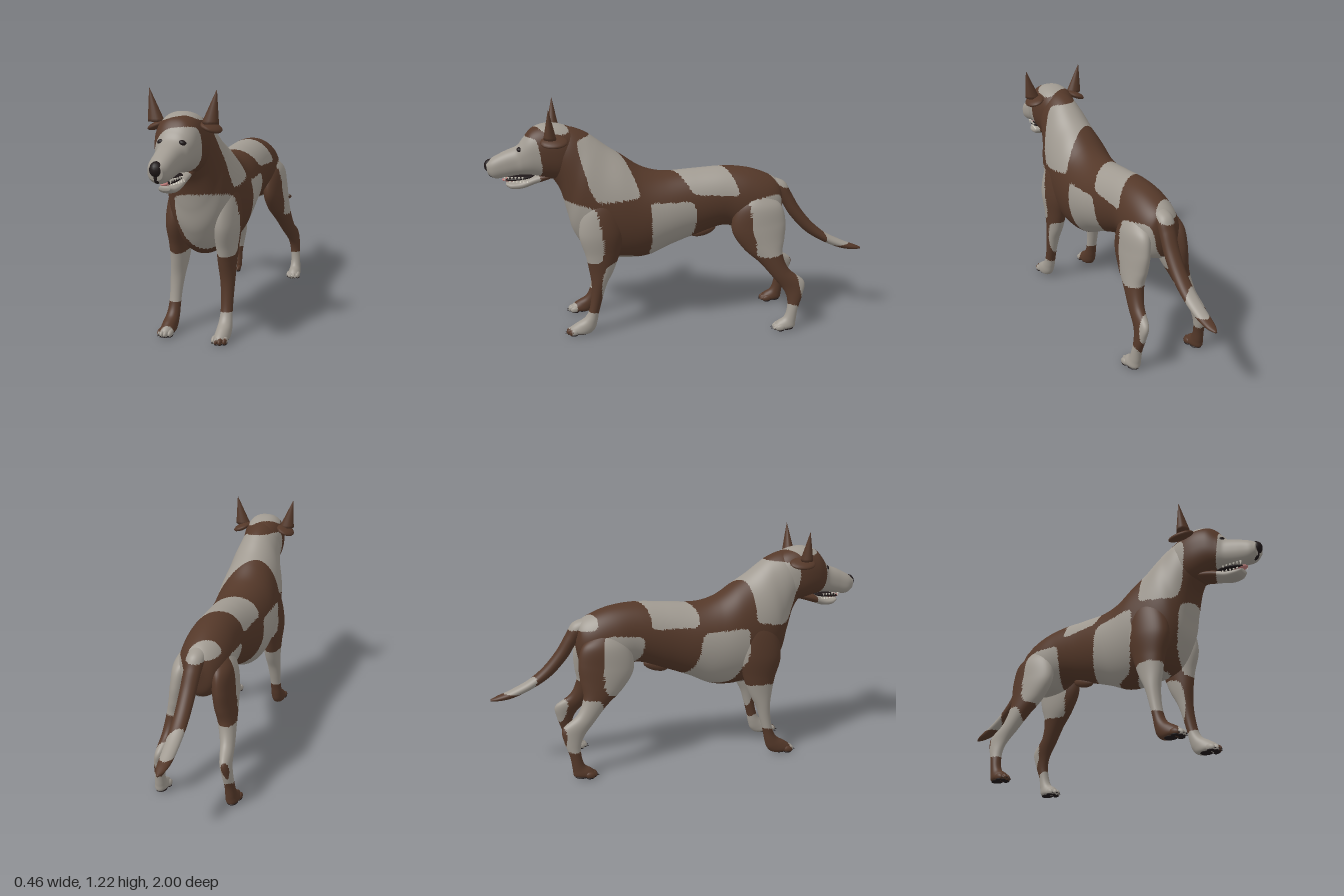
import * as THREE from 'three';

const mat = (name, color) => {
  const m = new THREE.MeshStandardMaterial({ color });
  m.name = name;
  return m;
};

// Coat pattern: slanted bands crossed with height bands, pale patches with rounded corners
const BANDS = [-0.69, -0.46, -0.22, 0.045, 0.305, 0.57, 0.755];
const ROWS = [0.145, 0.41, 0.735, 1.07];
function isPale(x, y, z) {
  const low = THREE.MathUtils.smoothstep(0.85 - y, 0, 0.2) * 0.065;
  const u = z + 0.55 * x + low + 0.01 * Math.sin(17 * y);
  const h = y + 0.01 * Math.sin(15 * z + 6 * x);
  const near = (list, v) => Math.min(...list.map(e => Math.abs(v - e)));
  const even = (BANDS.filter(b => u > b).length + ROWS.filter(r => h > r).length) % 2 === 0;
  return even && near(BANDS, u) * near(ROWS, h) > 0.0004;
}

// Sort the triangles into a pale group and a brown group
function paintCoat(geo) {
  const p = geo.attributes.position, idx = geo.index.array, sets = [[], []];
  for (let i = 0; i < idx.length; i += 3) {
    const t = [idx[i], idx[i + 1], idx[i + 2]];
    const mean = f => (f(t[0]) + f(t[1]) + f(t[2])) / 3;
    const pale = isPale(mean(k => p.getX(k)), mean(k => p.getY(k)), mean(k => p.getZ(k)));
    sets[pale ? 0 : 1].push(...t);
  }
  geo.setIndex([...sets[0], ...sets[1]]);
  geo.clearGroups();
  geo.addGroup(0, sets[0].length, 0);
  geo.addGroup(sets[0].length, sets[1].length, 1);
  return geo;
}

// Smooth skin over oval sections: [zA, yA, zB, yB, halfWidth, centreX],
// A and B being the two opposite edges of the section in side view
function loft(sections, segs, sides, { flip = 1, power = 1 } = {}) {
  const curve = f => new THREE.CatmullRomCurve3(sections.map(f), false, 'catmullrom', 0.5);
  const cA = curve(s => new THREE.Vector3(flip * (s[5] || 0), s[1], s[0]));
  const cB = curve(s => new THREE.Vector3(flip * (s[5] || 0), s[3], s[2]));
  const cW = curve(s => new THREE.Vector3(s[4], 0, 0));
  const pos = [], index = [];
  const soft = v => Math.sign(v) * Math.abs(v) ** power;
  for (let i = -1; i <= segs + 1; i++) {
    const t = Math.min(Math.max(i / segs, 0), 1);
    const open = i < 0 || i > segs ? 0.001 : 1;
    const a = cA.getPoint(t), b = cB.getPoint(t), w = cW.getPoint(t).x;
    const mid = a.clone().add(b).multiplyScalar(0.5), half = a.sub(b).multiplyScalar(0.5 * open);
    for (let j = 0; j < sides; j++) {
      const ang = j / sides * Math.PI * 2, c = soft(Math.cos(ang)), s = soft(Math.sin(ang));
      pos.push(mid.x + half.x * c + w * open * s, mid.y + half.y * c, mid.z + half.z * c);
    }
  }
  for (let i = 0; i < segs + 2; i++) for (let j = 0; j < sides; j++) {
    const a = i * sides + j, b = i * sides + (j + 1) % sides;
    index.push(a, a + sides, b, b, a + sides, b + sides);
  }
  const g = new THREE.BufferGeometry();
  g.setAttribute('position', new THREE.Float32BufferAttribute(pos, 3));
  g.setIndex(index);
  g.computeVertexNormals();
  return g;
}

function ellipsoid(c, r, rx = 0, rz = 0) {
  return new THREE.SphereGeometry(1, 16, 12).scale(...r).rotateX(rx).rotateZ(rz).translate(...c);
}

const TORSO = [
  [-0.548, 0.74, -0.555, 0.66, 0.03], [-0.525, 0.79, -0.53, 0.56, 0.085], [-0.46, 0.828, -0.46, 0.52, 0.118],
  [-0.36, 0.86, -0.34, 0.52, 0.13], [-0.235, 0.872, -0.235, 0.55, 0.126], [-0.075, 0.862, -0.08, 0.50, 0.137],
  [0.085, 0.852, 0.05, 0.45, 0.157], [0.20, 0.88, 0.17, 0.395, 0.168], [0.30, 0.945, 0.30, 0.385, 0.172],
  [0.37, 0.99, 0.46, 0.41, 0.165], [0.43, 1.035, 0.555, 0.53, 0.15], [0.48, 1.07, 0.59, 0.65, 0.128],
  [0.54, 1.095, 0.62, 0.77, 0.113], [0.60, 1.105, 0.66, 0.84, 0.098],
];
const HEAD = [
  [0.50, 1.06, 0.52, 0.87, 0.07], [0.58, 1.105, 0.58, 0.83, 0.104], [0.67, 1.122, 0.66, 0.835, 0.112, 0.002],
  [0.75, 1.10, 0.735, 0.855, 0.103, 0.006], [0.80, 1.045, 0.79, 0.862, 0.083, 0.01],
  [0.83, 1.01, 0.83, 0.86, 0.066, 0.013], [0.89, 0.985, 0.89, 0.85, 0.057, 0.015],
  [0.95, 0.955, 0.945, 0.845, 0.05, 0.015], [0.985, 0.93, 0.978, 0.865, 0.034, 0.015],
];
const JAW = [
  [0.65, 0.88, 0.67, 0.835, 0.06, 0.005], [0.74, 0.86, 0.74, 0.812, 0.056, 0.008],
  [0.81, 0.832, 0.81, 0.788, 0.048, 0.012], [0.86, 0.824, 0.865, 0.788, 0.042, 0.015],
  [0.892, 0.824, 0.893, 0.804, 0.026, 0.015],
];
const TAIL = [
  [-1, 0.395, -1, 0.385, 0.006, 0.022], [-0.96, 0.412, -0.96, 0.385, 0.024, 0.022],
  [-0.90, 0.435, -0.89, 0.395, 0.032, 0.021], [-0.80, 0.485, -0.79, 0.435, 0.036, 0.02],
  [-0.72, 0.55, -0.685, 0.50, 0.038, 0.018], [-0.65, 0.635, -0.60, 0.59, 0.04, 0.015],
  [-0.60, 0.72, -0.555, 0.66, 0.042, 0.01], [-0.56, 0.782, -0.515, 0.71, 0.045, 0.005],
  [-0.47, 0.812, -0.46, 0.74, 0.045, 0],
];
const FRONT_LEG = [
  [0.43, 0.80, 0.35, 0.80, 0.03, 0.092], [0.50, 0.70, 0.30, 0.72, 0.055, 0.112], [0.53, 0.56, 0.29, 0.58, 0.064, 0.122],
  [0.50, 0.44, 0.32, 0.46, 0.052, 0.124], [0.485, 0.36, 0.355, 0.36, 0.044, 0.126], [0.475, 0.28, 0.395, 0.28, 0.037, 0.132],
  [0.48, 0.20, 0.42, 0.20, 0.031, 0.136], [0.495, 0.13, 0.44, 0.125, 0.03, 0.138], [0.52, 0.09, 0.45, 0.075, 0.033, 0.14],
  [0.56, 0.065, 0.465, 0.03, 0.036, 0.142], [0.595, 0.04, 0.50, 0.004, 0.036, 0.142], [0.605, 0.02, 0.58, 0.004, 0.025, 0.142],
];
const HIND_LEG = [
  [-0.36, 0.76, -0.45, 0.74, 0.03, 0.075], [-0.29, 0.67, -0.53, 0.68, 0.054, 0.096], [-0.27, 0.55, -0.555, 0.59, 0.057, 0.107],
  [-0.33, 0.45, -0.55, 0.50, 0.054, 0.118], [-0.42, 0.37, -0.54, 0.42, 0.045, 0.135], [-0.49, 0.29, -0.575, 0.335, 0.036, 0.152],
  [-0.545, 0.225, -0.655, 0.27, 0.029, 0.166], [-0.567, 0.17, -0.65, 0.20, 0.027, 0.176], [-0.565, 0.11, -0.625, 0.12, 0.026, 0.184],
  [-0.55, 0.07, -0.615, 0.05, 0.029, 0.187], [-0.52, 0.05, -0.605, 0.012, 0.034, 0.189], [-0.50, 0.03, -0.54, 0.004, 0.034, 0.189],
  [-0.49, 0.02, -0.497, 0.004, 0.022, 0.189],
];
const EAR = [
  [0.654, 1.217, 0.651, 1.216, 0.002, 0.163], [0.685, 1.07, 0.62, 1.065, 0.041, 0.131],
];

export function createModel() {
  const pale = mat('pale coat', 0xa09a91), brown = mat('brown coat', 0x543829);
  const dark = mat('dark skin', 0x1f1819), pink = mat('tongue pink', 0xc07c7a), ivory = mat('tooth ivory', 0xd6d1c4);
  const model = new THREE.Group();
  model.name = 'dog';
  const add = (name, geo, material, parent = model) => {
    const m = new THREE.Mesh(geo, material);
    m.name = name;
    parent.add(m);
  };
  const addCoat = (name, geo, parent) => add(name, paintCoat(geo), [pale, brown], parent);
  const group = name => {
    const g = new THREE.Group();
    g.name = name;
    model.add(g);
    return g;
  };

  // Body
  addCoat('torso and neck', loft(TORSO, 180, 120));
  addCoat('tail', loft(TAIL, 90, 32));
  addCoat('belly sheath', ellipsoid([0, 0.515, -0.13], [0.022, 0.028, 0.07], 0.3));

  // Head
  const head = group('head');
  addCoat('skull and muzzle', loft(HEAD, 110, 80, { power: 0.85 }), head);
  addCoat('lower jaw', loft(JAW, 40, 40, { power: 0.9 }), head);
  add('nose', ellipsoid([0.015, 0.912, 0.969], [0.03, 0.034, 0.03], -0.3), dark, head);
  add('nose groove', ellipsoid([0.015, 0.872, 0.966], [0.014, 0.026, 0.015], 0.4), dark, head);
  add('mouth lining', ellipsoid([0.013, 0.845, 0.82], [0.046, 0.012, 0.085], 0.12), dark, head);
  add('tongue', ellipsoid([0.015, 0.836, 0.865], [0.024, 0.011, 0.05], 0.04), pink, head);

  for (const s of [1, -1]) {
    const side = s > 0 ? 'left' : 'right';
    add(side + ' eye', ellipsoid([0.015 + s * 0.05, 1.003, 0.81], [0.018, 0.012, 0.015], 0, -s * 0.2), dark, head);
    add(side + ' ear', loft(EAR, 12, 16, { flip: s }), brown, head);
    add(side + ' ear fold', ellipsoid([s * 0.128, 1.052, 0.633], [0.052, 0.018, 0.07], 0, -s * 0.4), brown, head);
    // Teeth along both jaws
    for (let i = 0; i < 6; i++) {
      const z = 0.79 + i * 0.018, x = 0.015 + s * (0.042 - i * 0.0035);
      const tall = i === 5 ? 0.024 : 0.014;
      add('lower tooth', new THREE.ConeGeometry(0.006, tall, 6).translate(x, 0.826 + tall / 2, z - 0.01), ivory, head);
      add('upper tooth', new THREE.ConeGeometry(0.006, tall, 6).rotateX(Math.PI)
        .translate(0.015 + s * (0.046 - i * 0.003), 0.856 - tall / 2, z + 0.015), ivory, head);
    }

    // Legs with toes, claws and pads
    for (const [name, sections, footX, toeZ] of [['front', FRONT_LEG, 0.142, 0.59], ['hind', HIND_LEG, 0.189, -0.515]]) {
      const leg = group(side + ' ' + name + ' leg');
      addCoat('leg', loft(sections, 120, 44, { flip: s }), leg);
      for (let i = 0; i < 4; i++) {
        const x = s * footX + (i - 1.5) * 0.0185, z = toeZ - (i === 0 || i === 3 ? 0.014 : 0);
        addCoat('toe', ellipsoid([x, 0.02, z], [0.0125, 0.018, 0.027], 0.2), leg);
        add('claw', new THREE.ConeGeometry(0.005, 0.02, 8).rotateX(Math.PI * 0.6).translate(x, 0.012, z + 0.027), dark, leg);
        add('toe pad', ellipsoid([x, 0.007, z], [0.011, 0.007, 0.02]), dark, leg);
      }
      add('heel pad', ellipsoid([s * footX, 0.008, toeZ - 0.053], [0.029, 0.008, 0.036]), dark, leg);
    }
  }
  return model;
}
